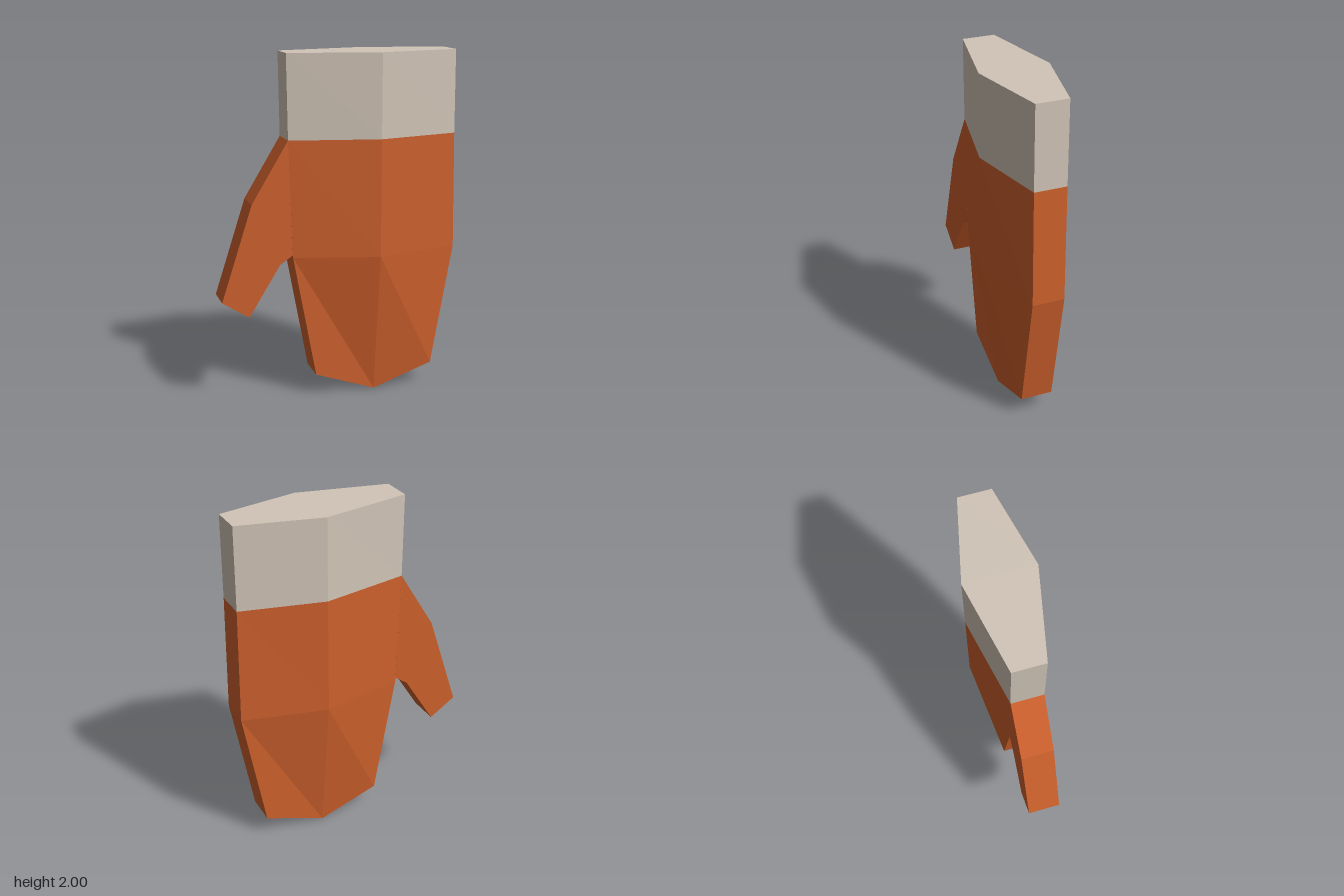
import * as THREE from 'three';

const EDGE = 0.093; // half thickness of the narrow sides
const MID = 0.205;  // x of the central ridge

// Six-sided ring: narrow left and right sides, a ridge front and back
function ring(xl, xr, ySide, yMid, zMid) {
  return [
    [xl, ySide, EDGE], [MID, yMid, zMid], [xr, ySide, EDGE],
    [xr, ySide, -EDGE], [MID, yMid, -zMid], [xl, ySide, -EDGE],
  ];
}

// Joins rings from top to bottom, with optional caps
function loft(rings, capTop, capBottom) {
  const pos = [];
  const quad = (a, b, c, d) => pos.push(...a, ...b, ...c, ...a, ...c, ...d);
  for (let r = 0; r < rings.length - 1; r++) {
    const a = rings[r], b = rings[r + 1];
    for (let i = 0; i < 6; i++) {
      const j = (i + 1) % 6;
      quad(a[i], b[i], b[j], a[j]);
    }
  }
  if (capTop) {
    const t = rings[0];
    quad(t[0], t[1], t[4], t[5]);
    quad(t[1], t[2], t[3], t[4]);
  }
  if (capBottom) {
    const b = rings[rings.length - 1];
    quad(b[5], b[4], b[1], b[0]);
    quad(b[4], b[3], b[2], b[1]);
  }
  const g = new THREE.BufferGeometry();
  g.setAttribute('position', new THREE.Float32BufferAttribute(pos, 3));
  g.computeVertexNormals();
  return g;
}

export function createModel() {
  const group = new THREE.Group();
  group.name = 'mitten';

  const orange = new THREE.MeshStandardMaterial({ color: 0xcd602c });
  orange.name = 'orange wool';
  const cream = new THREE.MeshStandardMaterial({ color: 0xd0c4b6 });
  cream.name = 'cream cuff';

  const add = (name, geometry, material) => {
    const mesh = new THREE.Mesh(geometry, material);
    mesh.name = name;
    group.add(mesh);
  };

  const wrist = ring(-0.308, 0.686, 1.52, 1.52, 0.2);

  // Cuff, closed on top
  add('cuff', loft([ring(-0.315, 0.684, 2, 2, 0.2), wrist], true, false), cream);

  // Palm narrowing to a pointed finger end
  add('hand', loft([
    wrist,
    ring(-0.285, 0.695, 0.845, 0.84, 0.2),
    ring(-0.152, 0.565, 0.125, 0, EDGE),
  ], false, true), orange);

  // Flat thumb along the left edge of the palm
  const outline = [
    [-0.308, 1.52], [-0.52, 1.17], [-0.7, 0.615],
    [-0.545, 0.515], [-0.362, 0.81], [-0.286, 0.862],
  ].map(([x, y]) => new THREE.Vector2(x, y));
  const thumb = new THREE.ExtrudeGeometry(new THREE.Shape(outline), {
    depth: EDGE * 2, bevelEnabled: false,
  });
  thumb.translate(0, 0, -EDGE);
  add('thumb', thumb, orange);

  return group;
}
